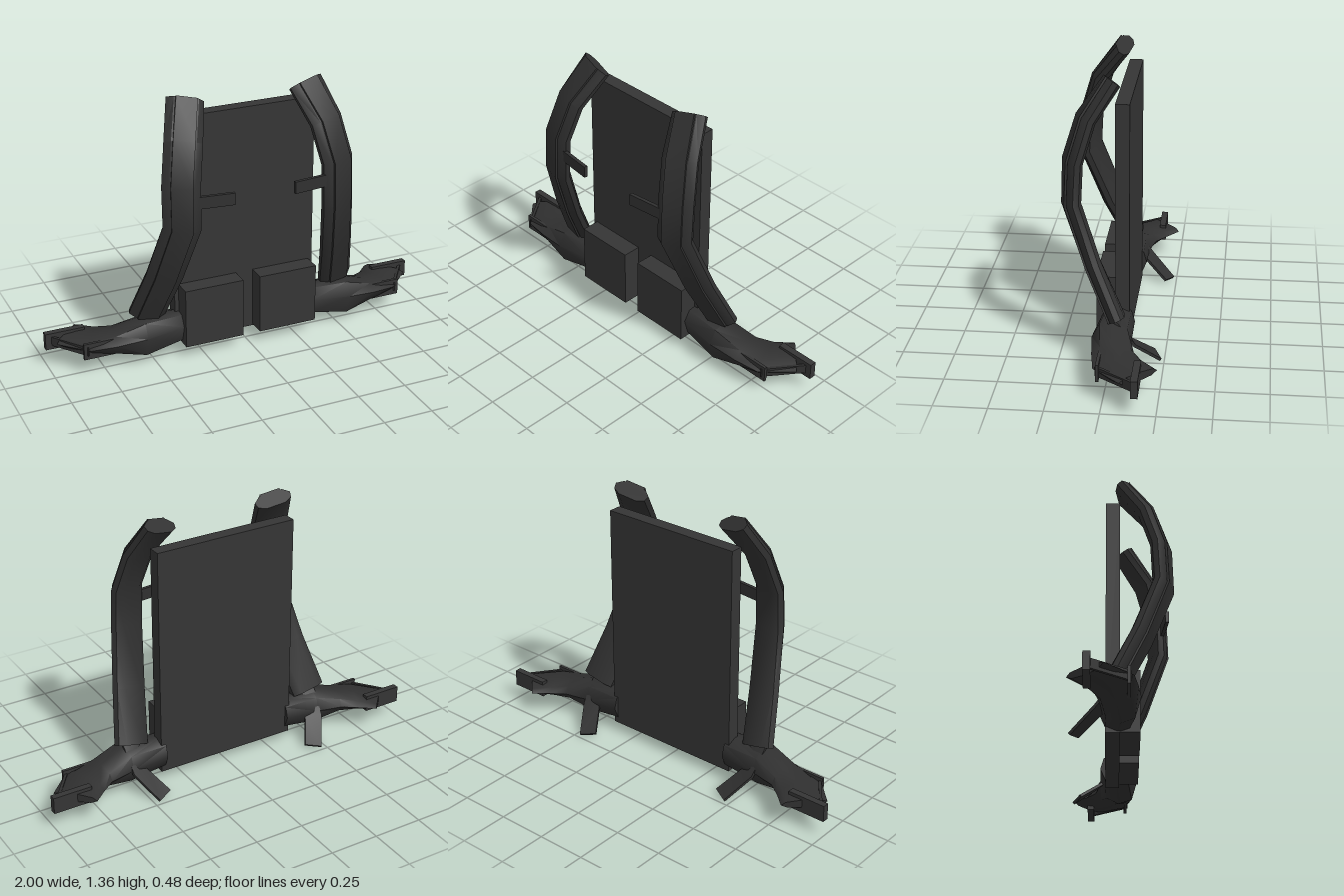
import * as THREE from 'three';
import { toCreasedNormals } from 'three/addons/utils/BufferGeometryUtils.js';

const V = (x, y, z) => new THREE.Vector3(x, y, z);

// Capped skin over closed rings of points; faces always point outwards.
function loft(rings, side, crease = 0.75) {
  const n = rings[0].length;
  const tris = [];
  for (let i = 0; i < rings.length - 1; i++) {
    for (let j = 0; j < n; j++) {
      const k = (j + 1) % n;
      const a = rings[i][j], b = rings[i][k], c = rings[i + 1][k], d = rings[i + 1][j];
      tris.push([a, b, c], [a, c, d]);
    }
  }
  const last = rings[rings.length - 1];
  for (let j = 1; j < n - 1; j++) {
    tris.push([rings[0][0], rings[0][j + 1], rings[0][j]], [last[0], last[j], last[j + 1]]);
  }
  const mirrored = tris.map((t) => t.map((p) => V(p.x * side, p.y, p.z)));
  const volume = mirrored.reduce((s, [a, b, c]) => s + a.dot(b.clone().cross(c)), 0);
  const pos = [];
  for (const [a, b, c] of mirrored) {
    for (const p of volume > 0 ? [a, b, c] : [a, c, b]) pos.push(p.x, p.y, p.z);
  }
  const geo = new THREE.BufferGeometry();
  geo.setAttribute('position', new THREE.Float32BufferAttribute(pos, 3));
  return toCreasedNormals(geo, crease);
}

// Sweeps a (width, depth) section along a path; each station has its own width direction.
function sweep(path, widths, section, side, crease) {
  const rings = path.map((c, i) => {
    const tangent = path[Math.min(i + 1, path.length - 1)].clone()
      .sub(path[Math.max(i - 1, 0)]).normalize();
    const w = widths[i].clone();
    w.addScaledVector(tangent, -w.dot(tangent)).normalize();
    const d = tangent.clone().cross(w).normalize();
    if (d.z < 0) d.negate();
    return section.map(([u, v]) => c.clone().addScaledVector(w, u).addScaledVector(d, v));
  });
  return loft(rings, side, crease);
}

const rect = (w, d0, d1) => [[-w, d0], [w, d0], [w, d1], [-w, d1]];

export function createModel() {
  const model = new THREE.Group();
  const panelMat = new THREE.MeshStandardMaterial({ color: 0x353535 });
  panelMat.name = 'charcoal panel';
  const paddingMat = new THREE.MeshStandardMaterial({ color: 0x303030 });
  paddingMat.name = 'dark padding';

  const add = (parent, name, geo, mat) => {
    const mesh = new THREE.Mesh(geo, mat);
    mesh.name = name;
    parent.add(mesh);
    return mesh;
  };
  // Box given by its lower and upper corners
  const box = (parent, name, x0, x1, y0, y1, z0, z1, mat) =>
    add(parent, name, new THREE.BoxGeometry(Math.abs(x1 - x0), y1 - y0, z1 - z0), mat)
      .position.set((x0 + x1) / 2, (y0 + y1) / 2, (z0 + z1) / 2);

  box(model, 'backPanel', -0.373, 0.373, 0.07, 1.25, -0.075, -0.008, panelMat);

  // Shoulder strap path and its width directions, top to bottom
  const strapPath = [V(0.31, 1.34, 0.01), V(0.367, 1.175, 0.125), V(0.404, 0.985, 0.182),
    V(0.406, 0.78, 0.19), V(0.46, 0.495, 0.085), V(0.515, 0.25, -0.03)];
  const strapWidths = [V(0.18, 0.045, -0.04), V(0.18, 0.02, -0.05), V(0.18, 0.01, -0.05),
    V(0.18, 0.01, -0.05), V(0.18, 0.02, -0.04), V(0.19, 0.015, -0.03)];
  const strapSection = [[-0.092, 0.008], [-0.06, 0.034], [0.06, 0.034], [0.092, 0.008],
    [0.085, -0.02], [0.05, -0.038], [-0.05, -0.038], [-0.085, -0.02]];

  // Hip wing stations: front x, z; back x, z; bottom y, top y
  const wingStations = [
    [0.35, 0.06, 0.35, -0.10, 0.08, 0.24],
    [0.55, 0.085, 0.54, -0.10, 0.045, 0.245],
    [0.70, 0.07, 0.67, -0.125, 0.09, 0.195],
    [0.83, 0.05, 0.74, -0.175, 0.105, 0.178],
    [0.96, -0.08, 0.81, -0.24, 0.125, 0.168],
  ];
  const wingRings = wingStations.map(([fx, fz, bx, bz, y0, y1]) => {
    const ring = [];
    for (const [t, h] of [[0, 0.62], [0.2, 0.95], [0.55, 1], [0.9, 0.85],
      [1, 0.5], [0.85, 0.15], [0.5, 0], [0.15, 0.12]]) {
      ring.push(V(fx + (bx - fx) * t, y0 + (y1 - y0) * h, fz + (bz - fz) * t));
    }
    return ring;
  });

  for (const side of [1, -1]) {
    const half = new THREE.Group();
    half.name = side > 0 ? 'leftHarness' : 'rightHarness';
    model.add(half);

    box(half, 'lumbarPad', side * 0.045, side * 0.352, 0.08, 0.385, -0.01, 0.085, panelMat);

    // Shoulder strap with a raised webbing strip on its front
    add(half, 'shoulderStrap', sweep(strapPath, strapWidths, strapSection, side), paddingMat);
    add(half, 'strapWebbing',
      sweep(strapPath, strapWidths, rect(0.052, 0.03, 0.044), side), paddingMat);

    // Chest strap stub
    const up = V(0, 1, 0);
    add(half, 'chestStrap', sweep([V(0.155, 0.903, 0.233), V(0.37, 0.903, 0.208)],
      [up, up], rect(0.03, -0.009, 0.009), side), paddingMat);

    // Hip belt wing, its side plate, end strap and buckle tab
    add(half, 'hipWing', loft(wingRings, side, 0.9), paddingMat);
    box(half, 'wingPlate', side * 0.6, side * 0.86, 0.1, 0.183, 0.02, 0.035, panelMat);
    add(half, 'endStrap', sweep([V(0.835, 0.143, 0.035), V(0.965, 0.143, -0.14)],
      [up, up], rect(0.023, -0.007, 0.007), side), paddingMat);
    box(half, 'beltTab', side * 0.8, side * 1.0, 0.1, 0.185, -0.168, -0.135, panelMat);

    // Loose tail of webbing hanging behind the shoulder strap
    add(half, 'strapTail',
      sweep([V(0.515, 0.27, -0.01), V(0.51, 0.13, -0.10), V(0.435, 0.03, -0.215)],
        [V(1, 0, 0), V(1, 0.1, -0.3), V(1, -0.2, -0.5)], rect(0.043, -0.007, 0.007), side),
      paddingMat);
  }
  return model;
}
